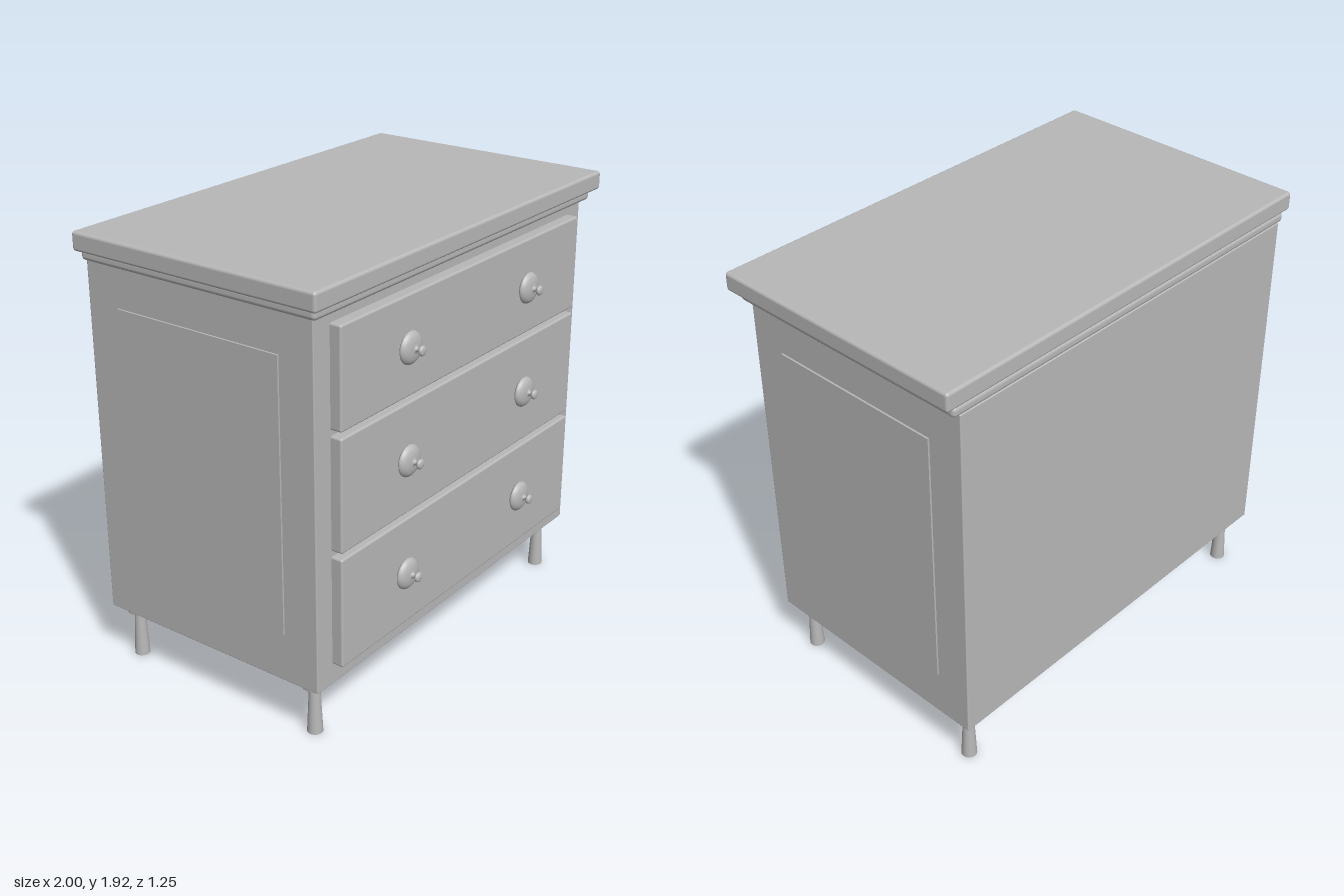
import * as THREE from 'three';
import { RoundedBoxGeometry } from 'three/addons/geometries/RoundedBoxGeometry.js';

export function createModel() {
  const model = new THREE.Group();
  model.name = 'chestOfDrawers';
  const grey = new THREE.MeshStandardMaterial({ color: 0xb8b8b8 });
  grey.name = 'plainGrey';

  const add = (name, geometry, x = 0, y = 0, z = 0) => {
    const mesh = new THREE.Mesh(geometry, grey);
    mesh.name = name;
    mesh.position.set(x, y, z);
    model.add(mesh);
    return mesh;
  };

  // Rounded block given by its limits on each axis
  const block = (name, [x0, x1], [y0, y1], [z0, z1], radius) =>
    add(name, new RoundedBoxGeometry(x1 - x0, y1 - y0, z1 - z0, 3, radius),
      (x0 + x1) / 2, (y0 + y1) / 2, (z0 + z1) / 2);

  // Carcass, moulding and top
  block('carcass', [-0.935, 0.935], [0.245, 1.805], [-0.62, 0.5], 0.005);
  block('topMoulding', [-0.965, 0.965], [1.8, 1.847], [-0.62, 0.532], 0.018);
  block('topBoard', [-1, 1], [1.845, 1.925], [-0.625, 0.563], 0.013);

  // Raised side panels
  for (const side of [-1, 1]) {
    add(side > 0 ? 'leftPanel' : 'rightPanel',
      new THREE.BoxGeometry(0.02, 1.17, 0.8), side * 0.933, 1.043, -0.06);
  }

  // Knob: domed plate, thin stem and small button, turned about its axis
  const knobProfile = new THREE.SplineCurve([
    [0.067, 0.008], [0.066, 0.016], [0.054, 0.028], [0.034, 0.035],
    [0.014, 0.038], [0.009, 0.046], [0.01, 0.053], [0.018, 0.058],
    [0.021, 0.065], [0.016, 0.073], [0, 0.076],
  ].map(([r, h]) => new THREE.Vector2(r, h))).getPoints(30);
  knobProfile.forEach((p) => { p.x = Math.max(p.x, 0); });
  const knobGeometry = new THREE.LatheGeometry(
    [new THREE.Vector2(0.05, -0.005), ...knobProfile], 32);
  knobGeometry.rotateX(Math.PI / 2);

  // Drawers, each with two knobs
  const drawers = [
    { name: 'bottom', y: [0.337, 0.814], knobY: 0.575 },
    { name: 'middle', y: [0.839, 1.316], knobY: 1.077 },
    { name: 'top', y: [1.34, 1.756], knobY: 1.547 },
  ];
  for (const { name, y, knobY } of drawers) {
    block(`${name}Drawer`, [-0.841, 0.841], y, [0.47, 0.55], 0.009);
    for (const x of [-0.427, 0.427]) add(`${name}DrawerKnob`, knobGeometry, x, knobY, 0.55);
  }

  // Tapered legs, wider at the foot, and the rails joining each pair
  const legGeometry = new THREE.CylinderGeometry(0.021, 0.033, 0.25, 24);
  for (const z of [0.42, -0.54]) {
    for (const x of [-0.855, 0.855]) add('leg', legGeometry, x, 0.125, z);
    block('legRail', [-0.908, 0.908], [0.214, 0.25], [z - 0.017, z + 0.017], 0.004);
  }
  return model;
}
